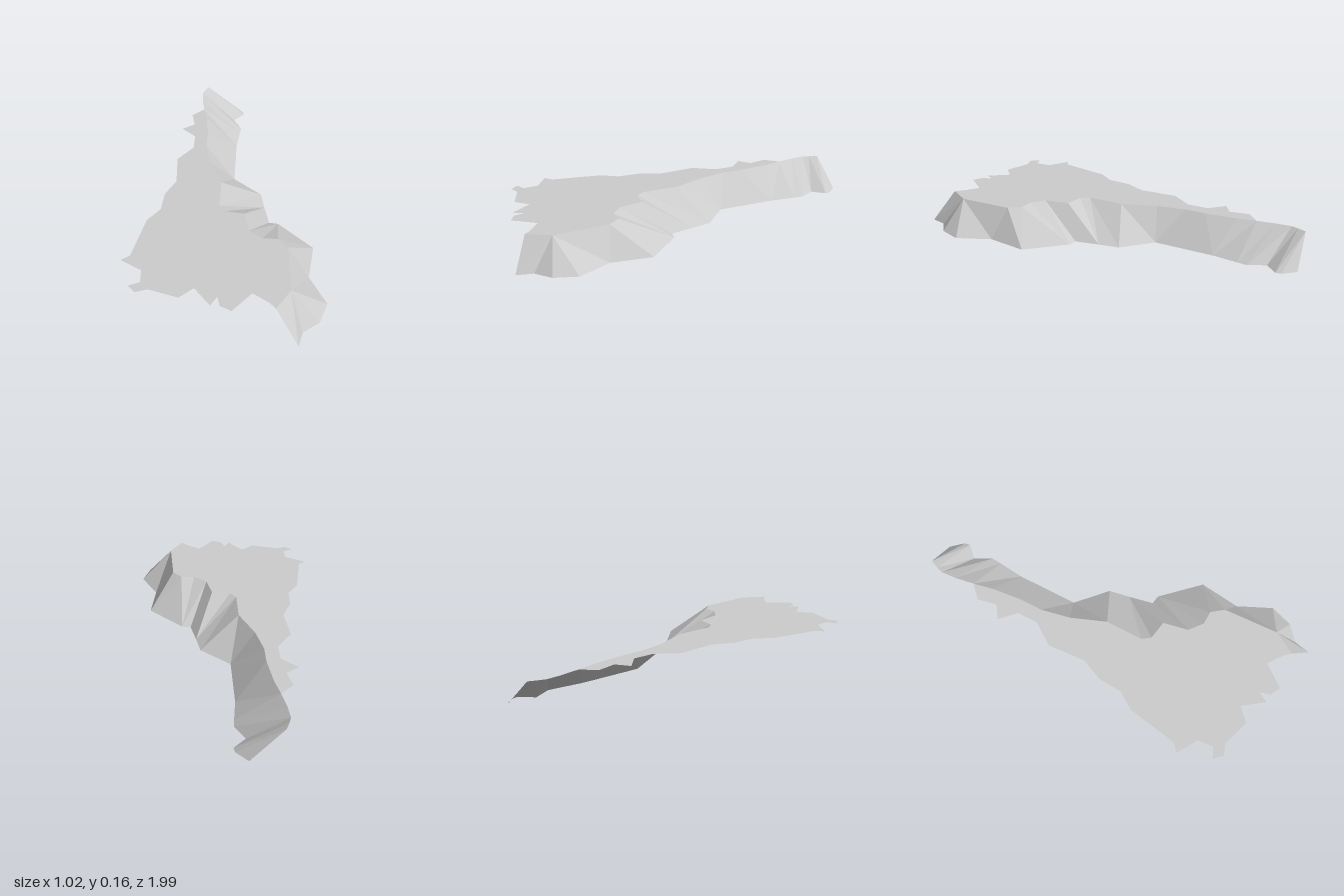
import * as THREE from 'three';

const HEIGHT = 0.16;

// Ribs down the cliff, back to front: [rim x, rim z, foot x, foot z]
const ribs = [
  [-0.48, -0.95, -0.32, -1.0],
  [-0.48, -0.95, -0.25, -0.945],
  [-0.49, -0.9, -0.24, -0.915],
  [-0.495, -0.86, -0.29, -0.84],
  [-0.475, -0.78, -0.225, -0.755],
  [-0.44, -0.68, -0.22, -0.7],
  [-0.4, -0.58, -0.21, -0.555],
  [-0.35, -0.407, -0.21, -0.555],
  [-0.33, -0.29, -0.15, -0.217],
  [-0.27, -0.137, -0.15, -0.217],
  [-0.165, 0.037, -0.15, -0.217],
  [-0.165, 0.037, 0.03, -0.1],
  [-0.13, 0.24, 0.03, -0.1],
  [-0.09, 0.28, 0.07, 0.01],
  [0.015, 0.28, 0.07, 0.01],
  [0.065, 0.41, 0.12, 0.137],
  [0.145, 0.455, 0.17, 0.137],
  [0.22, 0.445, 0.17, 0.137],
  [0.22, 0.445, 0.385, 0.296],
  [0.28, 0.5, 0.385, 0.296],
  [0.345, 0.795, 0.395, 0.523],
  [0.345, 0.795, 0.51, 0.69],
  [0.345, 0.795, 0.49, 0.82],
  [0.345, 0.795, 0.42, 0.9],
  [0.295, 0.925, 0.415, 0.99],
];

// Ragged outer edge of the plateau, front to back
const raggedEdge = [
  [0.26, 0.895], [0.17, 0.85], [0.1, 0.98], [0.04, 0.96], [0.015, 0.905],
  [-0.005, 0.965], [-0.105, 0.87], [-0.16, 0.945], [-0.315, 0.92], [-0.37, 0.95],
  [-0.415, 0.915], [-0.365, 0.88], [-0.385, 0.8], [-0.505, 0.75], [-0.47, 0.71],
  [-0.47, 0.43], [-0.425, 0.33], [-0.44, 0.2], [-0.41, 0.075], [-0.46, -0.13],
  [-0.4, -0.26], [-0.42, -0.375], [-0.515, -0.44], [-0.455, -0.5], [-0.495, -0.6],
];

export function createModel() {
  const group = new THREE.Group();
  const material = new THREE.MeshStandardMaterial({
    color: 0xcccccc, flatShading: true, side: THREE.DoubleSide,
  });
  const addPart = (name, geometry) => {
    const mesh = new THREE.Mesh(geometry, material);
    mesh.name = name;
    group.add(mesh);
  };

  // Sloping faceted cliff between the rim and the foot
  const positions = [];
  const addTriangle = (a, b, c) => {
    const area = b.clone().sub(a).cross(c.clone().sub(a)).length();
    if (area > 1e-6) for (const p of [a, b, c]) positions.push(p.x, p.y, p.z);
  };
  const rim = ribs.map(([x, z]) => new THREE.Vector3(x, HEIGHT, z));
  const foot = ribs.map(([, , x, z]) => new THREE.Vector3(x, 0, z));
  for (let i = 0; i < ribs.length - 1; i++) {
    addTriangle(rim[i], foot[i + 1], foot[i]);
    addTriangle(rim[i], rim[i + 1], foot[i + 1]);
  }
  const cliff = new THREE.BufferGeometry();
  cliff.setAttribute('position', new THREE.Float32BufferAttribute(positions, 3));
  cliff.computeVertexNormals();
  addPart('cliffFace', cliff);

  // Flat plateau bounded by the rim and the ragged edge
  const outline = rim
    .filter((p, i) => p.z > -0.7 && !(i > 0 && p.equals(rim[i - 1])))
    .map((p) => [p.x, p.z])
    .concat(raggedEdge)
    .map(([x, z]) => new THREE.Vector2(x, -z));
  const plateau = new THREE.ShapeGeometry(new THREE.Shape(outline));
  plateau.rotateX(-Math.PI / 2);
  plateau.translate(0, HEIGHT, 0);
  addPart('plateau', plateau);

  return group;
}
